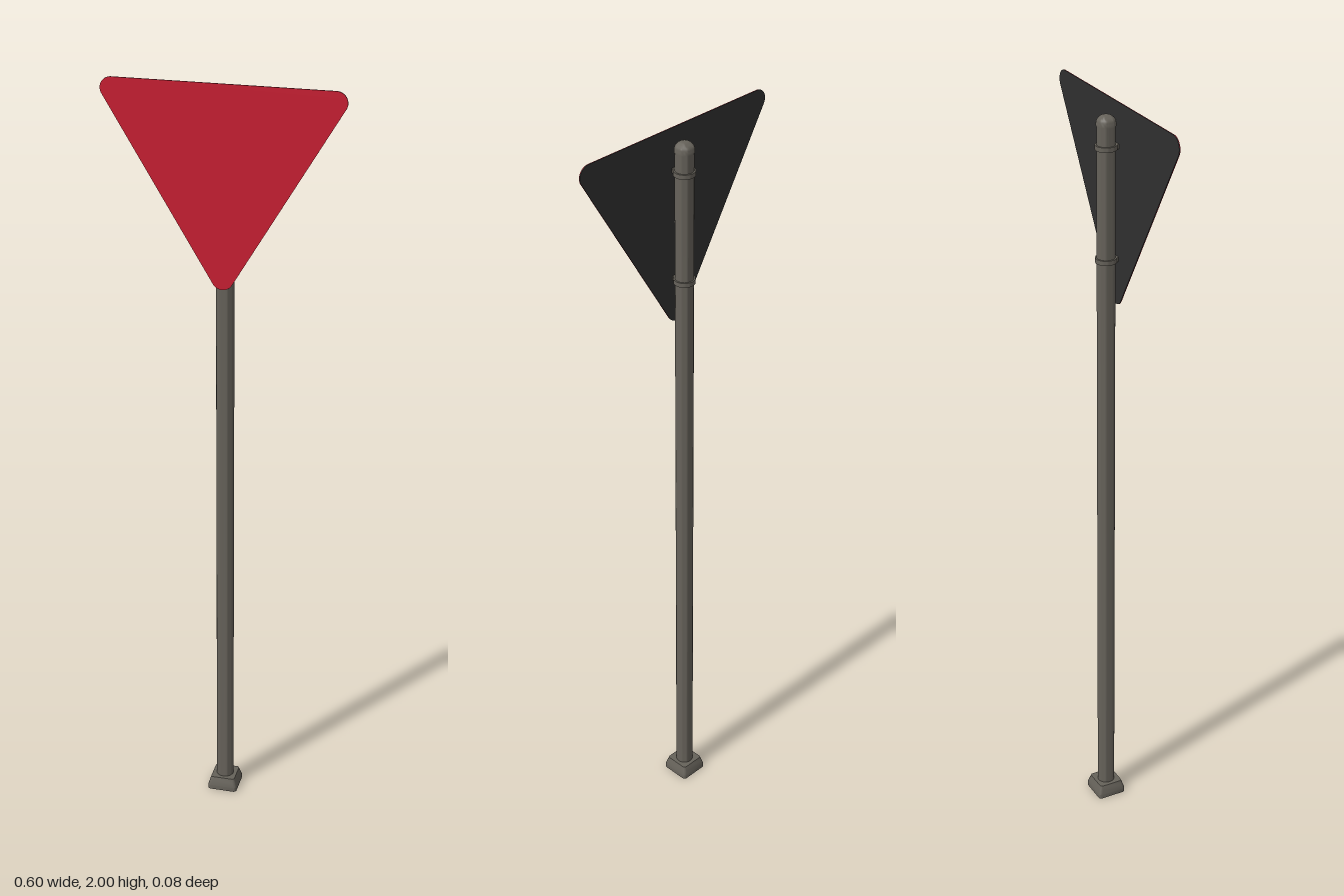
import * as THREE from 'three';
import { toCreasedNormals } from 'three/addons/utils/BufferGeometryUtils.js';

const steel = new THREE.MeshStandardMaterial({ color: 0x66625a });
const red = new THREE.MeshStandardMaterial({ color: 0xc81e32 });
const dark = new THREE.MeshStandardMaterial({ color: 0x303030 });

// Convex polygon outline (counter-clockwise circle centres) rounded by radius r
function roundedShape(centres, r) {
  const shape = new THREE.Shape();
  const n = centres.length;
  centres.forEach(([x, y], i) => {
    const [px, py] = centres[(i + n - 1) % n];
    const [nx, ny] = centres[(i + 1) % n];
    const a0 = Math.atan2(y - py, x - px) - Math.PI / 2;
    const a1 = Math.atan2(ny - y, nx - x) - Math.PI / 2;
    shape.absarc(x, y, r, a0, a1, false);
  });
  return shape;
}

// Surface of revolution with crisp edges where the profile turns sharply
function lathe(points, segments = 32) {
  const profile = points.map(([x, y]) => new THREE.Vector2(x, y));
  return toCreasedNormals(new THREE.LatheGeometry(profile, segments), 0.6);
}

export function createModel() {
  const model = new THREE.Group();
  model.name = 'roadSign';
  const add = (name, geometry, material) => {
    const mesh = new THREE.Mesh(geometry, material);
    mesh.name = name;
    model.add(mesh);
    return mesh;
  };

  // Square foot with rounded corners: upright rim, then tapering to the top
  const c = 0.032;
  const footGeometry = new THREE.ExtrudeGeometry(
    roundedShape([[-c, -c], [c, -c], [c, c], [-c, c]], 0.008),
    { depth: 0.036, steps: 3, bevelEnabled: false, curveSegments: 5 });
  footGeometry.rotateX(-Math.PI / 2);
  const pos = footGeometry.attributes.position;
  for (let i = 0; i < pos.count; i++) {
    const s = 1 - 0.18 * Math.max(0, (pos.getY(i) - 0.012) / 0.024);
    pos.setX(i, pos.getX(i) * s);
    pos.setZ(i, pos.getZ(i) * s);
  }
  add('foot', toCreasedNormals(footGeometry, 0.4), steel);

  // Round post with a domed cap
  add('post', lathe([[0.023, 0.03], [0.023, 1.945]]), steel);
  const dome = [[0.023, 1.945], [0.0245, 1.945], [0.0245, 1.951]];
  for (let i = 1; i <= 6; i++) {
    const a = (i / 6) * Math.PI / 2;
    dome.push([0.0245 * Math.cos(a), 1.951 + 0.021 * Math.sin(a)]);
  }
  add('postCap', lathe(dome), steel);

  // Clamps: a band round the post, a bracket to the plate, and side bolts
  for (const y of [1.605, 1.892]) {
    add('clampBand', lathe([[0.022, -0.006], [0.027, -0.006], [0.027, 0.006], [0.022, 0.006]]), steel)
      .position.y = y;
    add('clampBracket', new THREE.BoxGeometry(0.026, 0.012, 0.009), steel).position.set(0, y, 0.0235);
  }

  // Triangular plate, point down: red front, dark back
  const r = 0.028;
  const outline = roundedShape([[0, 1.483 + r], [0.302 - r, 2 - r], [-0.302 + r, 2 - r]], r);
  const sheet = { depth: 0.0015, bevelEnabled: false, curveSegments: 12 };
  add('signFace', new THREE.ExtrudeGeometry(outline, sheet), red).position.z = 0.029;
  add('signBack', new THREE.ExtrudeGeometry(outline, sheet), dark).position.z = 0.0275;

  return model;
}
